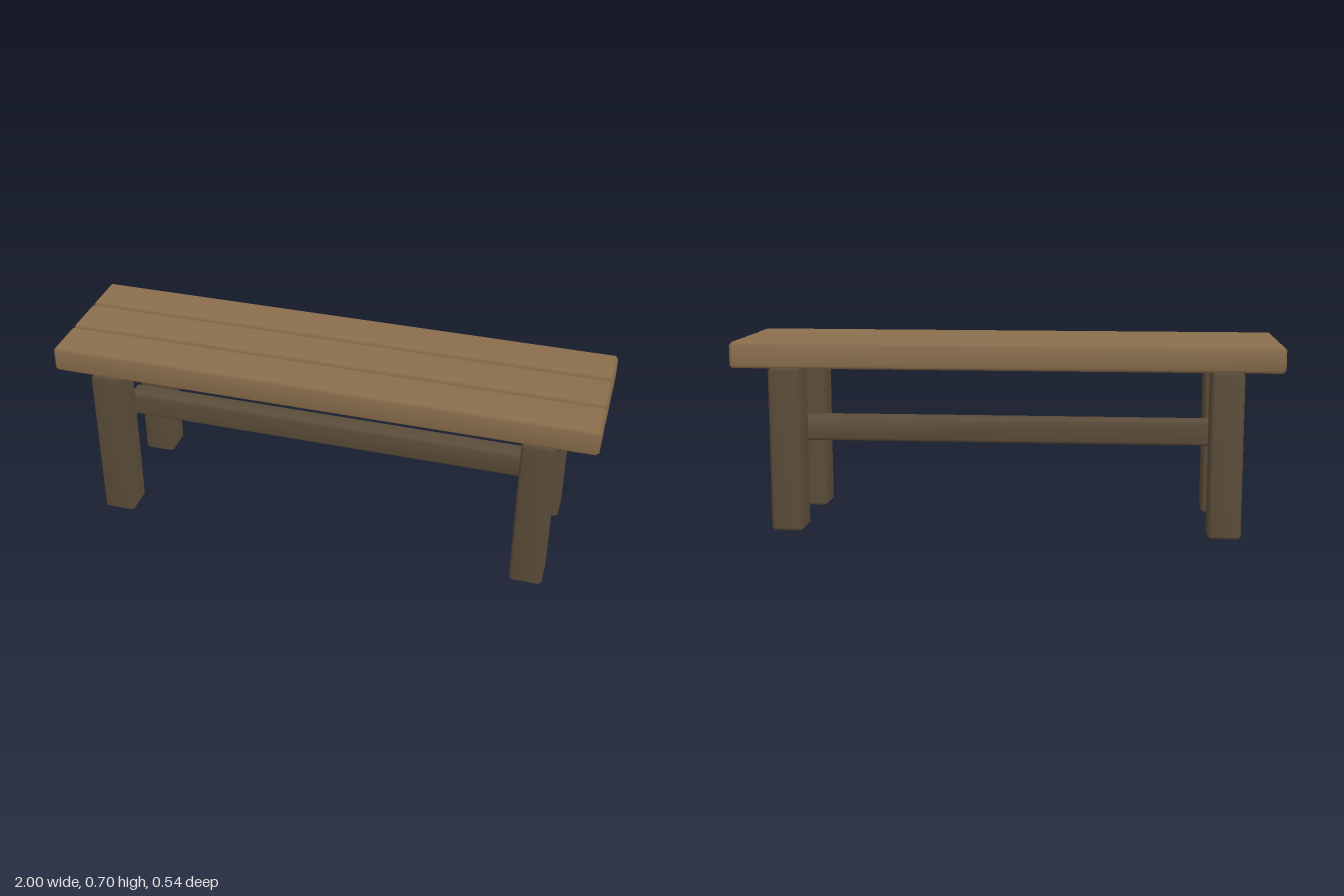
import * as THREE from 'three';
import { ConvexGeometry } from 'three/addons/geometries/ConvexGeometry.js';
import { mergeVertices } from 'three/addons/utils/BufferGeometryUtils.js';

// Box with one chamfer on every edge, softly shaded across the chamfers
function beveledBox(w, h, d, bevel = 0.011) {
  const points = [];
  for (const sx of [-1, 1]) for (const sy of [-1, 1]) for (const sz of [-1, 1]) {
    for (let axis = 0; axis < 3; axis++) {
      const half = [w / 2, h / 2, d / 2].map((v, i) => (i === axis ? v : v - bevel));
      points.push(new THREE.Vector3(sx * half[0], sy * half[1], sz * half[2]));
    }
  }
  const hull = new ConvexGeometry(points);
  hull.deleteAttribute('normal');
  const geometry = mergeVertices(hull, 1e-5);
  geometry.computeVertexNormals();
  return geometry;
}

export function createModel() {
  const bench = new THREE.Group();
  bench.name = 'bench';

  const plankWood = new THREE.MeshStandardMaterial({ color: 0x8b6f4d });
  plankWood.name = 'plank wood';
  const frameWood = new THREE.MeshStandardMaterial({ color: 0x5c4d3a });
  frameWood.name = 'dark frame wood';

  function add(name, geometry, material, x, y, z) {
    const mesh = new THREE.Mesh(geometry, material);
    mesh.name = name;
    mesh.position.set(x, y, z);
    bench.add(mesh);
  }

  // Seat: three long planks with narrow gaps
  const plank = beveledBox(2, 0.095, 0.171);
  ['backPlank', 'middlePlank', 'frontPlank'].forEach((name, i) => {
    add(name, plank, plankWood, 0, 0.6495, (i - 1) * 0.179);
  });

  // Four square legs
  const leg = beveledBox(0.119, 0.605, 0.124);
  for (const sx of [-1, 1]) for (const sz of [-1, 1]) {
    const name = (sz > 0 ? 'front' : 'back') + (sx > 0 ? 'Left' : 'Right') + 'Leg';
    add(name, leg, frameWood, sx * 0.798, 0.3025, sz * 0.208);
  }

  // Long stretcher between the leg pairs
  add('stretcher', beveledBox(1.64, 0.095, 0.082), frameWood, 0, 0.3465, 0);

  return bench;
}
